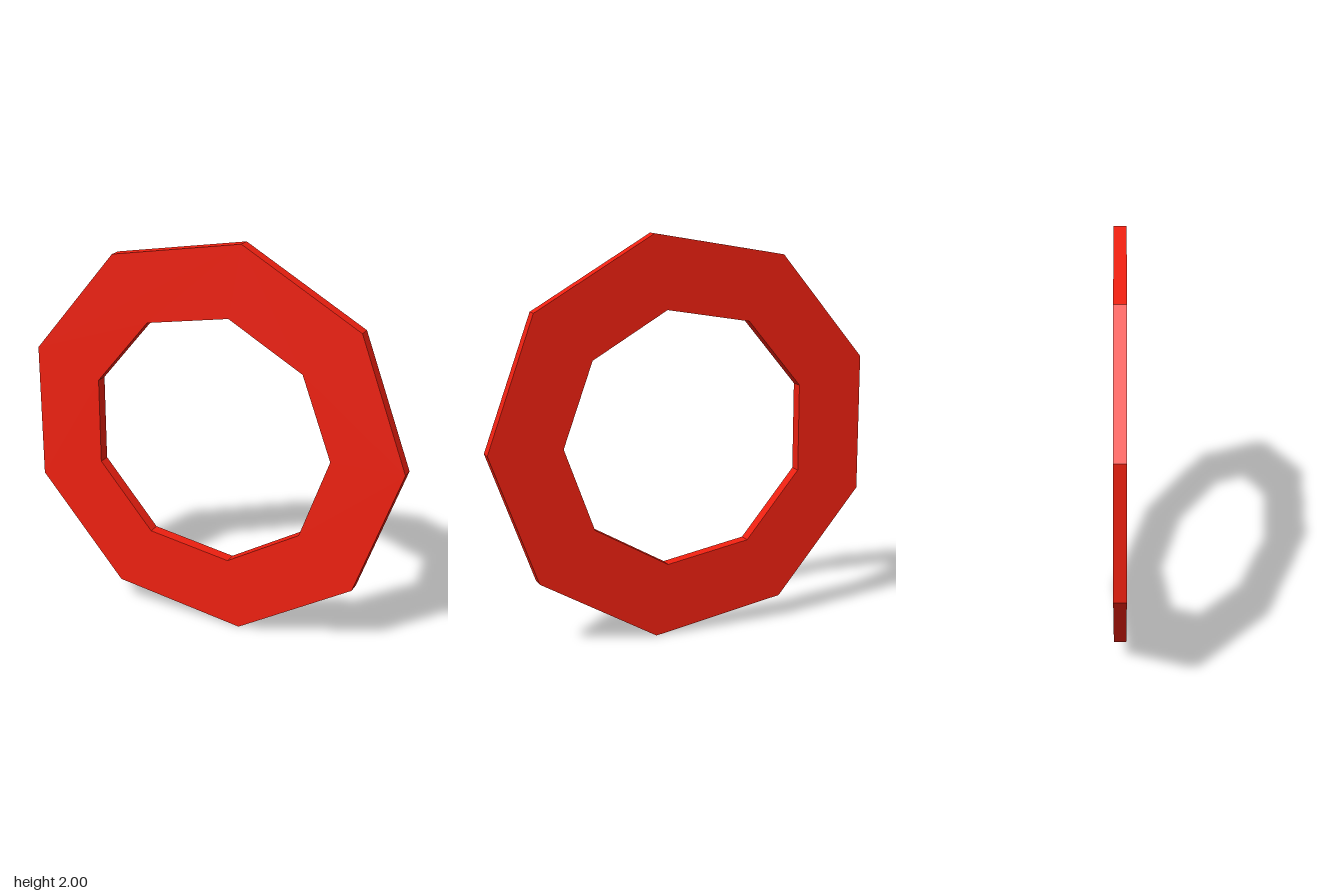
import * as THREE from 'three';

const SIDES = 9;
const OUTER = 1 / Math.sin((80 * Math.PI) / 180); // gives a height of exactly 2
const INNER = 0.645;
const DEPTH = 0.06;

// Corners of a regular polygon with one corner on +x
function polygon(radius) {
  return Array.from({ length: SIDES }, (_, i) => {
    const a = (i / SIDES) * Math.PI * 2;
    return new THREE.Vector2(Math.cos(a) * radius, Math.sin(a) * radius);
  });
}

export function createModel() {
  const group = new THREE.Group();
  group.name = 'nonagonRing';

  // Flat nine-sided plate with a matching nine-sided opening
  const shape = new THREE.Shape(polygon(OUTER));
  shape.holes.push(new THREE.Path(polygon(INNER)));
  const geometry = new THREE.ExtrudeGeometry(shape, { depth: DEPTH, bevelEnabled: false });

  // Centre on x and z, stand on y = 0
  geometry.computeBoundingBox();
  const { min, max } = geometry.boundingBox;
  geometry.translate(-(min.x + max.x) / 2, -min.y, -DEPTH / 2);

  const material = new THREE.MeshStandardMaterial({ color: 0xee2010, flatShading: true });
  const ring = new THREE.Mesh(geometry, material);
  ring.name = 'ring';
  group.add(ring);
  return group;
}
